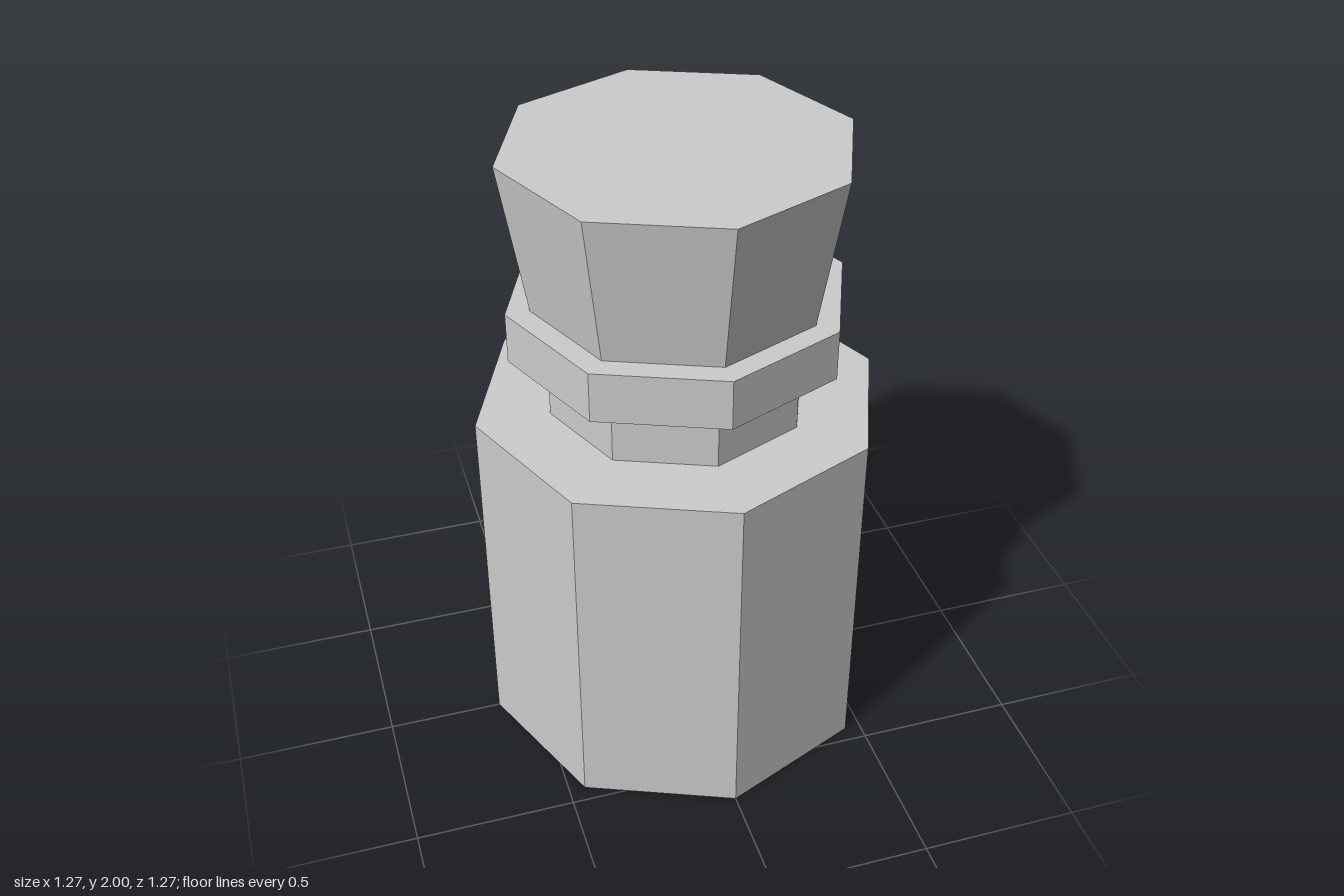
import * as THREE from 'three';

const SIDES = 8;

export function createModel() {
  const group = new THREE.Group();
  group.name = 'stopperedBottle';
  const material = new THREE.MeshStandardMaterial({ color: 0xcccccc, flatShading: true });

  // Octagonal section standing between two heights, with a corner facing front
  const addSection = (name, bottom, top, bottomRadius, topRadius = bottomRadius) => {
    const geometry = new THREE.CylinderGeometry(topRadius, bottomRadius, top - bottom, SIDES);
    const mesh = new THREE.Mesh(geometry, material);
    mesh.name = name;
    mesh.position.y = (bottom + top) / 2;
    group.add(mesh);
  };

  addSection('body', 0, 1.16, 0.635);
  addSection('neck', 1.16, 1.37, 0.404);
  addSection('lip', 1.37, 1.53, 0.522);
  // Stopper flares outward toward the top
  addSection('stopper', 1.53, 2, 0.448, 0.527);

  return group;
}
